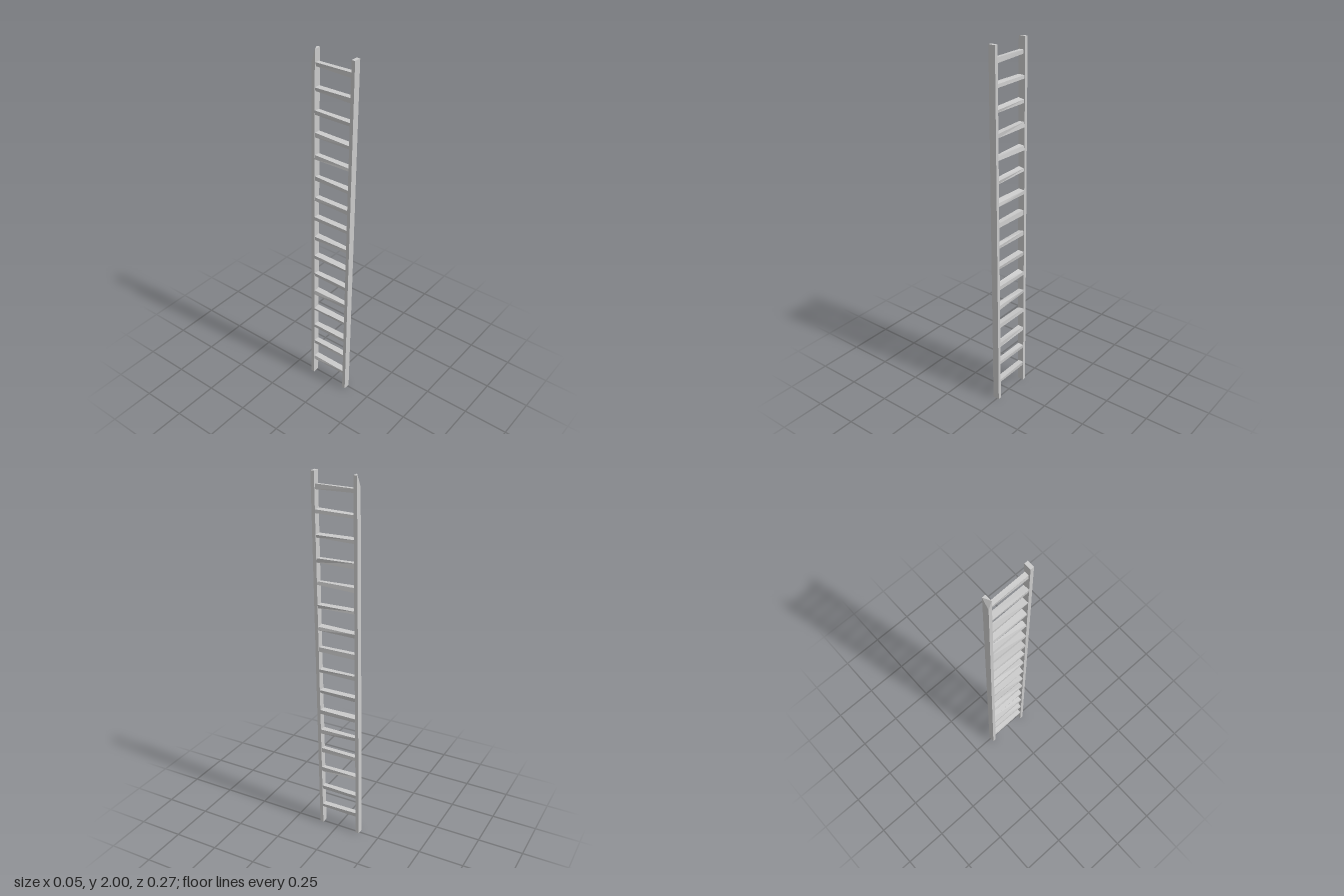
import * as THREE from 'three';

const material = new THREE.MeshStandardMaterial({ color: 0xcccccc, flatShading: true });

// Small seeded generator returning values in -1..1
function seeded(seed) {
  return () => {
    seed = (seed * 16807) % 2147483647;
    return (seed / 2147483647) * 2 - 1;
  };
}

// Box of unit size whose corners are placed by a rule
function hewnBeam(name, place) {
  const geometry = new THREE.BoxGeometry(1, 1, 1);
  const p = geometry.attributes.position;
  for (let i = 0; i < p.count; i++) {
    const v = place(Math.sign(p.getX(i)), Math.sign(p.getY(i)), Math.sign(p.getZ(i)));
    p.setXYZ(i, ...v);
  }
  const flat = geometry.toNonIndexed();
  flat.computeVertexNormals();
  const mesh = new THREE.Mesh(flat, material);
  mesh.name = name;
  return mesh;
}

// The ladder leans slightly towards +x and +z as it rises
const leanX = (y) => -0.007 + 0.0065 * y;
const leanZ = (y) => -0.0135 + 0.013 * y;

export function createModel() {
  const ladder = new THREE.Group();
  ladder.name = 'ladder';

  // Two long side rails; the back one has a chipped top corner
  for (const side of [1, -1]) {
    ladder.add(hewnBeam(side > 0 ? 'frontRail' : 'backRail', (sx, sy, sz) => {
      const y = sy > 0 ? 2 : 0;
      const chipped = side < 0 && sy > 0 && sx < 0 && sz < 0;
      return [
        leanX(y) + sx * 0.019,
        chipped ? 1.94 : y,
        leanZ(y) + side * 0.1135 + sz * 0.0095,
      ];
    }));
  }

  // Sixteen roughly cut rungs with slightly uneven corners
  const random = seeded(4711);
  for (let i = 0; i < 16; i++) {
    const y = 0.115 + i * 0.1207;
    const half = i === 15 ? 0.012 : 0.0165;
    const corners = {};
    for (const sx of [-1, 1]) for (const sy of [-1, 1]) for (const sz of [-1, 1]) {
      corners[[sx, sy, sz]] = [
        leanX(y) + sx * half + random() * 0.003,
        y + sy * 0.0105 + random() * 0.004,
        leanZ(y) + sz * 0.107,
      ];
    }
    ladder.add(hewnBeam(`rung${i + 1}`, (sx, sy, sz) => corners[[sx, sy, sz]]));
  }
  return ladder;
}
